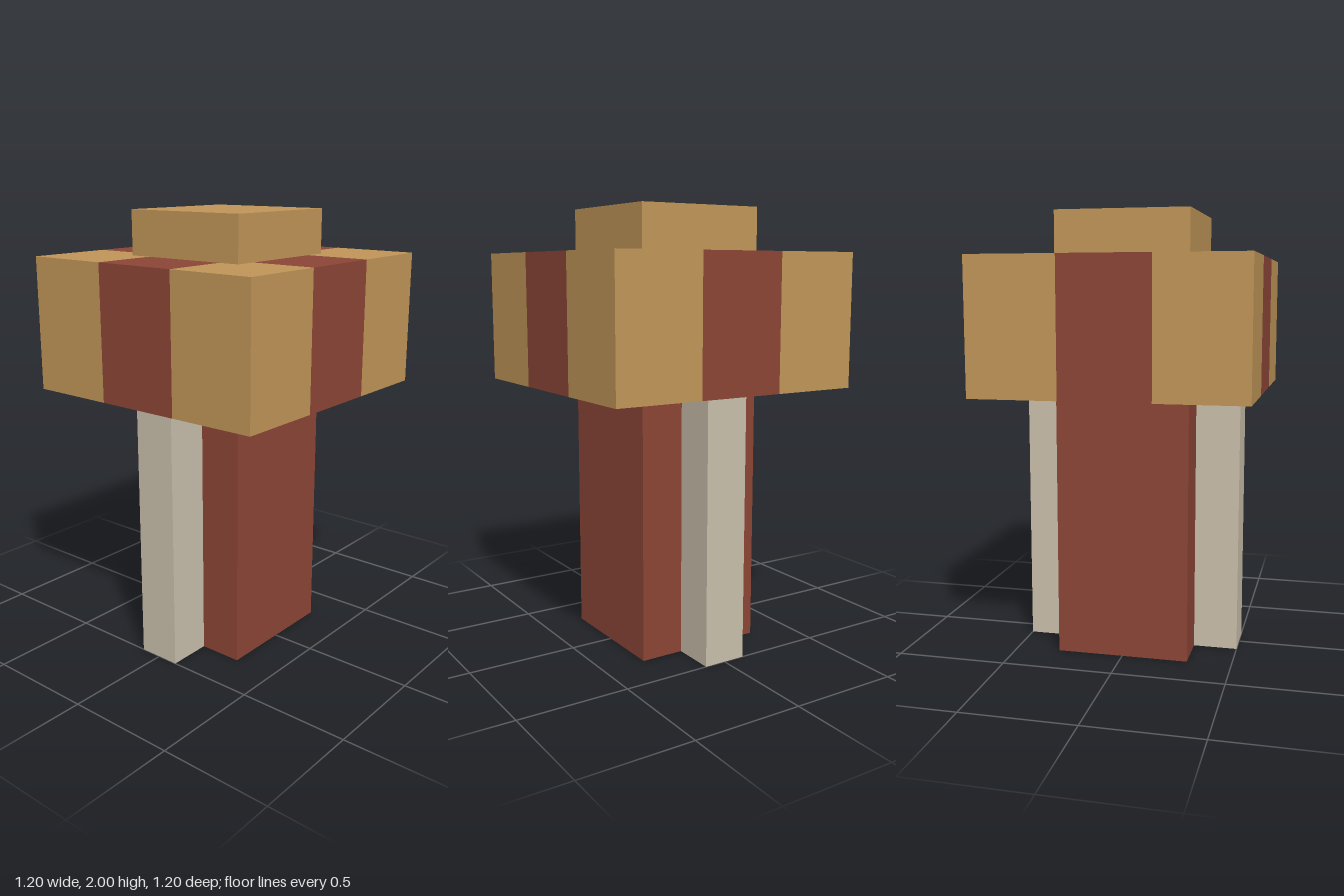
import * as THREE from 'three';

const material = (name, color) => {
  const m = new THREE.MeshStandardMaterial({ color });
  m.name = name;
  return m;
};

export function createModel() {
  const group = new THREE.Group();
  const tan = material('tan', 0xc09558);
  const red = material('brick red', 0x8c4536);
  const cream = material('cream', 0xc9bfab);

  const add = (name, geometry, mat, x, y, z) => {
    const mesh = new THREE.Mesh(geometry, mat);
    mesh.name = name;
    mesh.position.set(x, y, z);
    group.add(mesh);
  };

  // Central trunk and the two posts at its sides
  add('trunk', new THREE.BoxGeometry(0.6, 1.2, 0.6), red, 0, 0.6, 0);
  for (const [name, side] of [['leftPost', 1], ['rightPost', -1]]) {
    add(name, new THREE.BoxGeometry(0.2, 1.2, 0.2), cream, side * 0.4, 0.6, 0);
  }

  // Wide head: three cells across, every odd cell of the walls and top is a red band
  const head = new THREE.BoxGeometry(1.2, 0.6, 1.2, 3, 1, 3);
  const faces = head.groups.slice();
  head.clearGroups();
  faces.forEach(({ start, count }, face) => {
    const isBottom = face === 3;
    for (let cell = 0; cell < count / 6; cell++) {
      head.addGroup(start + cell * 6, 6, !isBottom && cell % 2 === 1 ? 1 : 0);
    }
  });
  add('bandedHead', head, [tan, red], 0, 1.5, 0);

  // Small cap on top
  add('cap', new THREE.BoxGeometry(0.6, 0.2, 0.6), tan, 0, 1.9, 0);

  return group;
}
